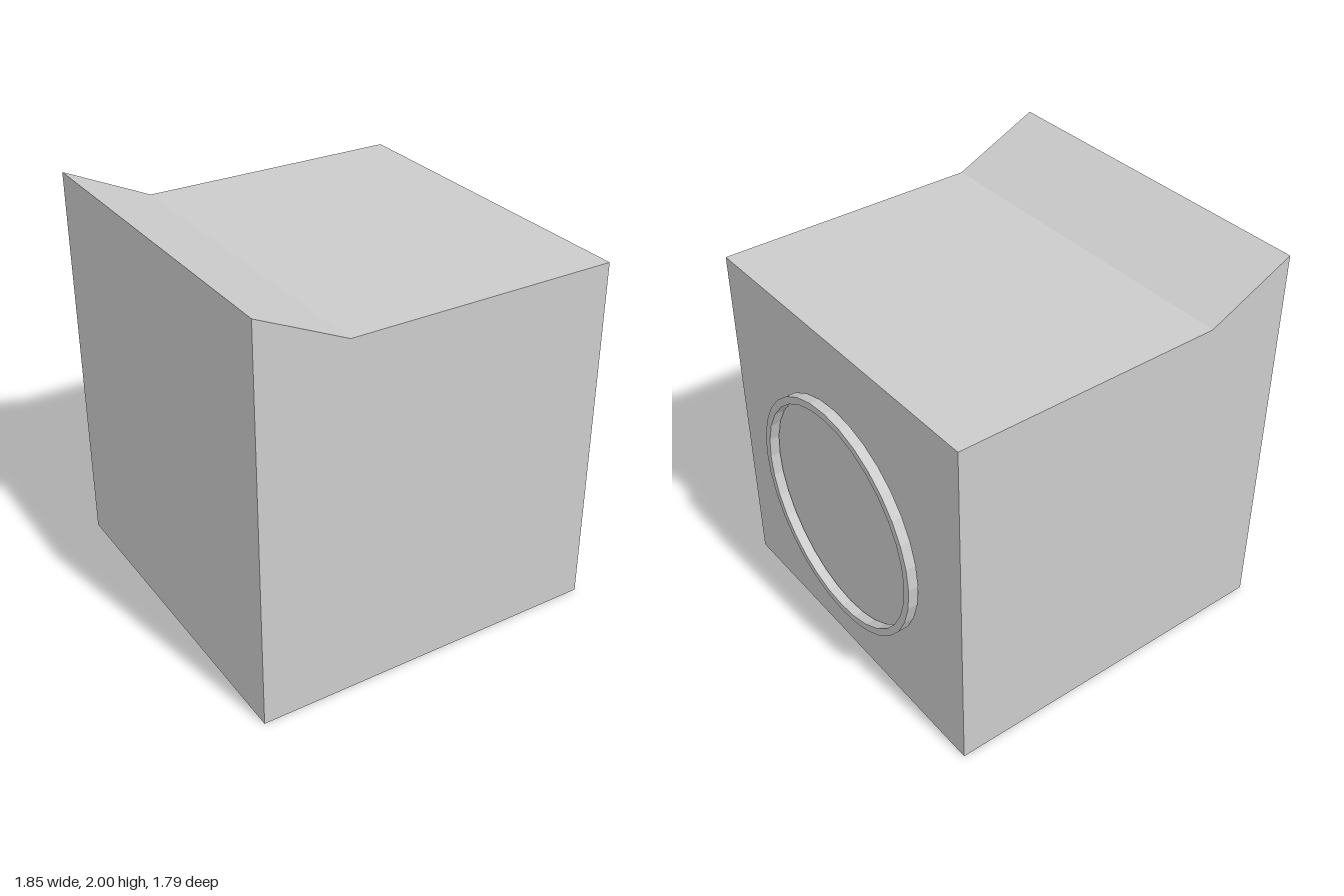
import * as THREE from 'three';

const material = new THREE.MeshStandardMaterial({ color: 0xcccccc, flatShading: true });

function addPart(group, name, geometry) {
  const mesh = new THREE.Mesh(geometry, material);
  mesh.name = name;
  group.add(mesh);
  return mesh;
}

export function createModel() {
  const group = new THREE.Group();
  group.name = 'washingMachine';

  // Cabinet: side outline with a raised, sloping control panel, extruded across the depth
  const depth = 1.795;
  const outline = new THREE.Shape([
    [-0.925, 0], [0.865, 0], [0.865, 1.795], [-0.485, 1.795], [-0.925, 2],
  ].map(([x, y]) => new THREE.Vector2(x, y)));
  const cabinet = new THREE.ExtrudeGeometry(outline, { depth, bevelEnabled: false });
  cabinet.translate(0, 0, -depth / 2);
  addPart(group, 'cabinet', cabinet);

  // Door ring: rectangular section turned around the x axis, just clear of the cabinet
  const outer = 0.6, inner = 0.563, half = 0.025;
  const section = [
    [inner, -half], [outer, -half], [outer, half], [inner, half], [inner, -half],
  ].map(([r, h]) => new THREE.Vector2(r, h));
  const ring = addPart(group, 'doorRing', new THREE.LatheGeometry(section, 32));
  ring.rotation.z = -Math.PI / 2;
  ring.position.set(0.9, 0.855, 0.005);

  return group;
}
